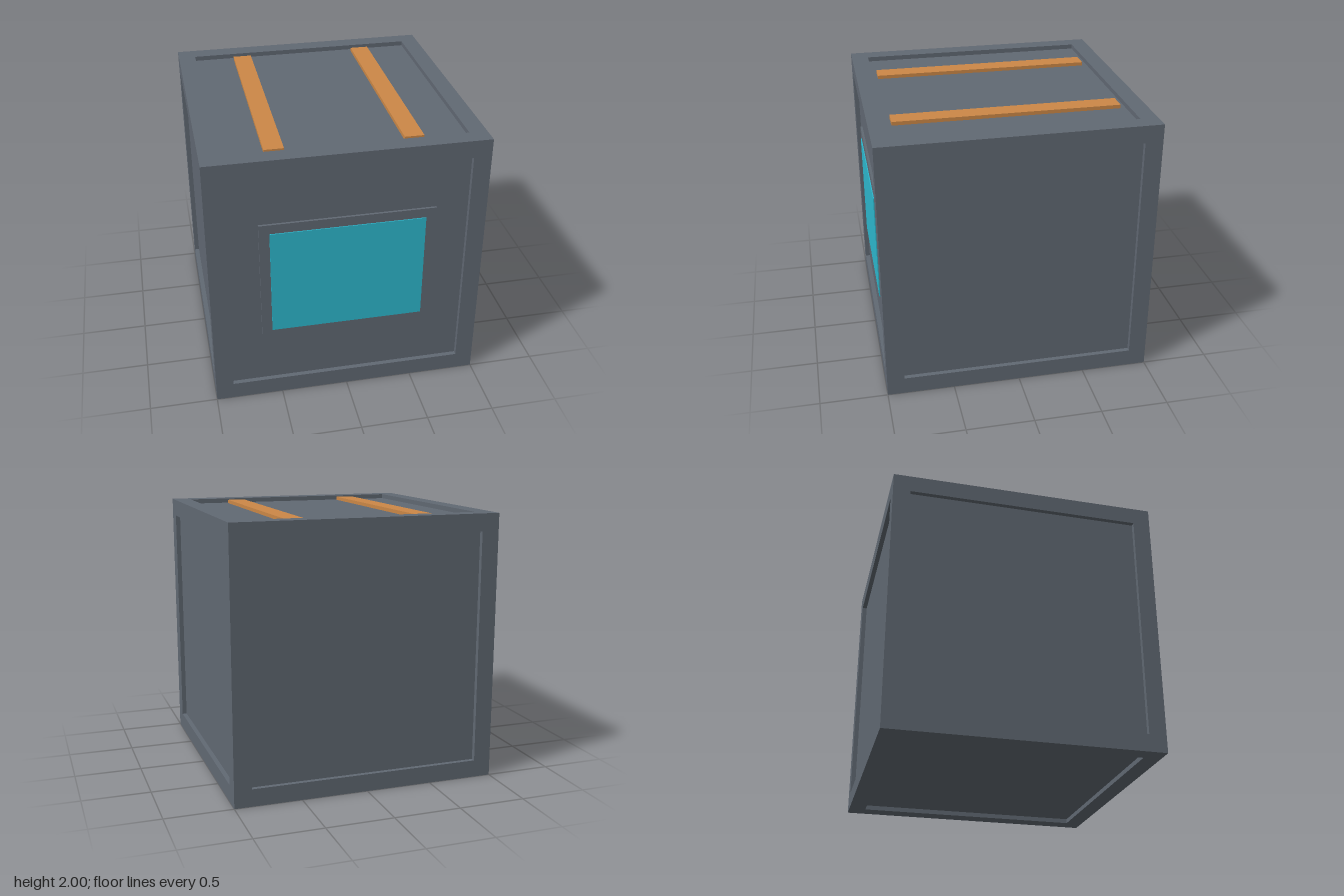
import * as THREE from 'three';

const HALF = 1;        // half the crate's width
const INNER = 0.87;    // half the width of each recess
const FLOOR = 0.965;   // distance of the recessed panels from the centre

// Square, flat-faced surface swept from a profile of [half width, height] points
function squareLathe(profile) {
  const points = profile.map(([w, h]) => new THREE.Vector2(w * Math.SQRT2, h));
  const geometry = new THREE.LatheGeometry(points, 4, Math.PI / 4).toNonIndexed();
  geometry.computeVertexNormals();
  return geometry;
}

export function createModel() {
  const steel = new THREE.MeshStandardMaterial({ name: 'slate grey', color: 0x616973 });
  const cyan = new THREE.MeshStandardMaterial({ name: 'screen cyan', color: 0x2db8ce });
  const orange = new THREE.MeshStandardMaterial({ name: 'strap orange', color: 0xcc8847 });

  const model = new THREE.Group();
  model.name = 'crate';
  const body = new THREE.Group();
  body.name = 'body';
  body.position.y = HALF;
  model.add(body);

  function add(name, geometry, material, parent = body) {
    const mesh = new THREE.Mesh(geometry, material);
    mesh.name = name;
    parent.add(mesh);
    return mesh;
  }

  function box(name, size, position, material) {
    add(name, new THREE.BoxGeometry(...size), material).position.set(...position);
  }

  // Six sides, each a raised border with an inner lip around a recessed panel
  const border = squareLathe([[HALF, HALF], [INNER, HALF], [INNER, FLOOR]]);
  const panel = new THREE.PlaneGeometry(2 * INNER, 2 * INNER);
  panel.rotateX(-Math.PI / 2).translate(0, FLOOR, 0);
  const q = Math.PI / 2;
  const sides = {
    top: [0, 0, 0],
    bottom: [Math.PI, 0, 0],
    front: [q, 0, 0],
    back: [-q, 0, 0],
    left: [0, 0, -q],
    right: [0, 0, q],
  };
  for (const [name, rotation] of Object.entries(sides)) {
    const side = new THREE.Group();
    side.name = name + 'Side';
    side.rotation.set(...rotation);
    add(name + 'Border', border, steel, side);
    add(name + 'Panel', panel, steel, side);
    body.add(side);
  }

  // Screen in its bezel on the front panel
  box('screenBezel', [1.27, 0.98, 0.04], [0, 0, 0.963], steel);
  box('screen', [1.12, 0.83, 0.008], [0, 0.003, 0.986], cyan);

  // Two straps lying in the top recess
  for (const s of [-1, 1]) {
    box(s > 0 ? 'leftStrap' : 'rightStrap', [0.14, 0.04, 1.66], [s * 0.49, 0.972, 0], orange);
  }

  return model;
}
